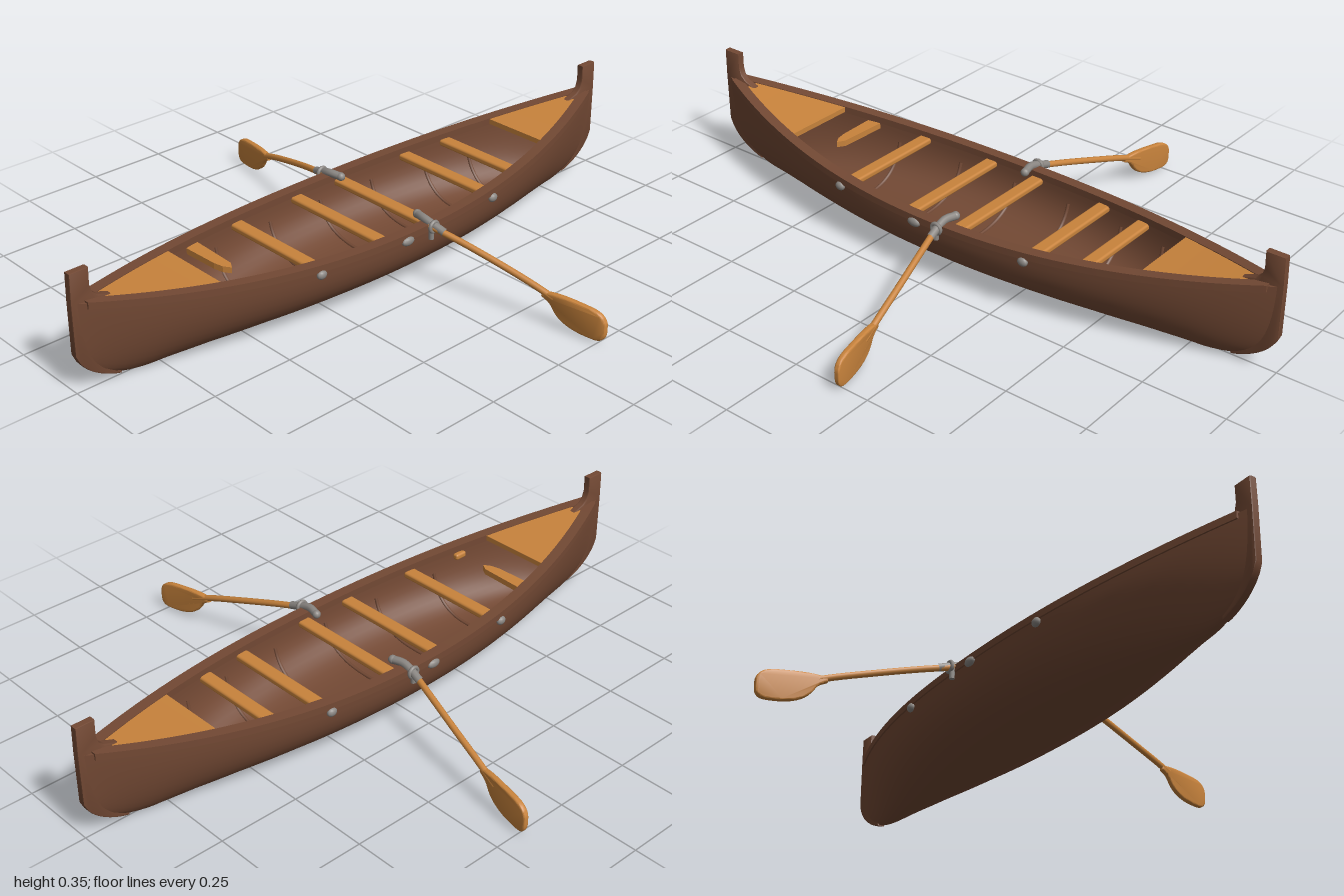
import * as THREE from 'three';
import { toCreasedNormals } from 'three/addons/utils/BufferGeometryUtils.js';
import { RoundedBoxGeometry } from 'three/addons/geometries/RoundedBoxGeometry.js';

const V = (x, y, z) => new THREE.Vector3(x, y, z);

// Hull lines as functions of the station z
const halfBeam = z => 0.216 * (1 - Math.abs(z) ** 2.1) + 0.004;
const sheer = z => 0.193 + 0.075 * z * z;
const keel = z => {
  const a = Math.abs(z), t = Math.min(1, Math.max(0, (a - 0.78) / 0.22));
  return 0.014 - 0.013 * Math.min(1, a / 0.8) ** 2 + 0.14 * (1 - Math.sqrt(1 - t * t));
};
const innerBeam = z => Math.max(halfBeam(z) - 0.026, 0.001);

// U-shaped half-round section from the +x rim to the -x rim
function section(z, w, bottom, top, n = 24) {
  const p = 2.6 - 1.0 * z * z, points = [];
  for (let i = 0; i <= n; i++) {
    const t = (i / n) * Math.PI, c = Math.cos(t), s = Math.sin(t);
    points.push(V(w * Math.sign(c) * Math.abs(c) ** (2 / p), top - (top - bottom) * s ** (2 / p), z));
  }
  return points;
}
function innerSection(z) {
  const fade = Math.min(1, Math.max(0, (0.93 - Math.abs(z)) / 0.05));
  const top = sheer(z), bottom = Math.min(keel(z) + 0.02, top);
  return section(z, innerBeam(z), top - (top - bottom) * fade, top);
}

// Joins closed rings (clockwise seen from +z) placed at rising z
function loft(rings, crease = 0.7) {
  const n = rings[0].length, index = [];
  for (let i = 0; i < rings.length - 1; i++) {
    for (let j = 0; j < n; j++) {
      const a = i * n + j, b = i * n + (j + 1) % n;
      index.push(a, a + n, b, b, a + n, b + n);
    }
  }
  const last = (rings.length - 1) * n;
  for (let j = 1; j < n - 1; j++) index.push(0, j, j + 1, last, last + j + 1, last + j);
  const g = new THREE.BufferGeometry().setFromPoints(rings.flat());
  g.setIndex(index);
  return toCreasedNormals(g, crease);
}
const stations = (from, to, n, f) =>
  Array.from({ length: n + 1 }, (_, i) => f(from + (to - from) * i / n));

export function createModel() {
  const model = new THREE.Group();
  const material = (name, color) => {
    const m = new THREE.MeshStandardMaterial({ color });
    m.name = name;
    return m;
  };
  const brown = material('dark wood', 0x734934);
  const wood = material('light wood', 0xc8833c);
  const metal = material('grey metal', 0x8b8783);
  const add = (name, geometry, mat, parent = model) => {
    const mesh = new THREE.Mesh(geometry, mat);
    mesh.name = name;
    parent.add(mesh);
    return mesh;
  };

  // Hull shell with an outer and an inner skin
  add('hull', loft(stations(-0.99, 0.99, 80, z =>
    [...section(z, halfBeam(z), keel(z), sheer(z)), ...innerSection(z).reverse()])), brown);

  // Gunwale rails
  for (const s of [1, -1]) {
    add(s > 0 ? 'leftGunwale' : 'rightGunwale', loft(stations(-0.96, 0.96, 60, z => {
      const o = halfBeam(z) + 0.005, i = Math.max(o - 0.034, 0.001), y = sheer(z);
      const ring = [V(s * i, y + 0.005, z), V(s * o, y + 0.005, z), V(s * o, y - 0.016, z), V(s * i, y - 0.016, z)];
      return s > 0 ? ring : ring.reverse();
    })), brown);
  }

  // Upright stems at both ends
  for (const s of [1, -1]) {
    const outline = [[0.996, 0.27], [0.994, 0.351], [0.944, 0.351], [0.945, 0.305], [0.938, 0.28], [0.92, 0.264], [0.88, 0.25]];
    for (let i = 0; i <= 12; i++) {
      const z = 0.87 + 0.126 * i / 12;
      outline.push([z, keel(z) + 0.002]);
    }
    const shape = new THREE.Shape(outline.map(([z, y]) => new THREE.Vector2(z, y)));
    const g = new THREE.ExtrudeGeometry(shape, {
      depth: 0.014, bevelThickness: 0.005, bevelSize: 0.004, bevelSegments: 2,
    });
    g.translate(0, 0, -0.007).rotateY(-s * Math.PI / 2);
    add(s > 0 ? 'frontStem' : 'backStem', toCreasedNormals(g, 0.7), brown);
  }

  // Triangular end decks
  const deckRing = z => {
    const w = innerBeam(z) + 0.001, y = sheer(z) + 0.003;
    return [V(w, y, z), V(w, y - 0.016, z), V(-w, y - 0.016, z), V(-w, y, z)];
  };
  add('frontDeck', loft(stations(0.61, 0.9, 14, deckRing)), wood);
  add('backDeck', loft(stations(-0.9, -0.64, 14, deckRing)), wood);

  // Ribs inside the hull
  for (const z of [-0.56, -0.4, -0.2, 0, 0.2, 0.42]) {
    const path = new THREE.CatmullRomCurve3(innerSection(z).slice(2, -2));
    add('rib', new THREE.TubeGeometry(path, 40, 0.006, 6), brown);
  }

  // Thwarts
  for (const z of [-0.48, -0.33, -0.08, 0.09, 0.33]) {
    add('thwart', new RoundedBoxGeometry(2 * innerBeam(z) + 0.004, 0.02, 0.042, 2, 0.007), wood)
      .position.set(0, sheer(z) - 0.022, z);
  }
  // Broken thwart: a pointed piece and a stub
  const broken = new THREE.Shape([[-0.143, -0.022], [-0.143, 0.022], [-0.02, 0.018], [0.01, 0.012], [0.032, -0.002], [0.01, -0.016]]
    .map(([x, y]) => new THREE.Vector2(x, y)));
  add('brokenThwart', new THREE.ExtrudeGeometry(broken, { depth: 0.018, bevelEnabled: false })
    .rotateX(Math.PI / 2), wood).position.set(0, 0.195, 0.512);
  add('thwartStub', new RoundedBoxGeometry(0.02, 0.02, 0.042, 2, 0.007), wood).position.set(0.135, 0.185, 0.512);

  // Oars, oarlocks and side fittings
  const oarZ = x => { const d = Math.abs(x) - 0.24; return -0.05 - 0.27 * d + 0.1 * d * d; };
  for (const s of [1, -1]) {
    const oar = new THREE.Group();
    oar.name = s > 0 ? 'leftOar' : 'rightOar';
    model.add(oar);
    const shaft = new THREE.CatmullRomCurve3([[0.22, 0.193], [0.32, 0.171], [0.46, 0.134], [0.56, 0.105], [0.64, 0.077]]
      .map(([x, y]) => V(s * x, y, oarZ(x))));
    add('shaft', new THREE.TubeGeometry(shaft, 24, 0.0095, 10), wood, oar);

    const blade = new THREE.Shape();
    const p = (...c) => c.map((v, i) => (i % 2 ? v : s * v));
    blade.moveTo(...p(0.58, 0.094));
    blade.bezierCurveTo(...p(0.61, 0.104, 0.66, 0.1, 0.72, 0.094));
    blade.bezierCurveTo(...p(0.755, 0.09, 0.768, 0.075, 0.766, 0.05));
    blade.bezierCurveTo(...p(0.768, 0.016, 0.757, 0.012, 0.73, 0.013));
    blade.bezierCurveTo(...p(0.67, 0.014, 0.632, 0.03, 0.615, 0.06));
    blade.bezierCurveTo(...p(0.605, 0.078, 0.595, 0.082, 0.58, 0.089));
    const g = new THREE.ExtrudeGeometry(blade, {
      depth: 0.008, bevelThickness: 0.005, bevelSize: 0.005, bevelSegments: 3, curveSegments: 10,
    });
    const pos = g.attributes.position;
    for (let i = 0; i < pos.count; i++) pos.setZ(i, pos.getZ(i) - 0.004 + oarZ(pos.getX(i)));
    add('blade', toCreasedNormals(g, 0.7), wood, oar);

    // Metal grip, cradle and pin
    const grip = new THREE.CatmullRomCurve3([V(s * 0.16, 0.203, -0.058), V(s * 0.2, 0.204, -0.05), V(s * 0.27, 0.184, oarZ(0.27))]);
    add('oarGrip', new THREE.TubeGeometry(grip, 12, 0.012, 10), metal, oar);
    add('gripEnd', new THREE.SphereGeometry(0.013, 12, 8), metal, oar).position.set(s * 0.16, 0.203, -0.058);
    const cradle = add('oarlock', new THREE.TorusGeometry(0.015, 0.006, 8, 16), metal, oar);
    cradle.position.set(s * 0.235, 0.193, -0.05);
    cradle.rotation.y = Math.PI / 2;
    add('oarlockPin', new THREE.CylinderGeometry(0.008, 0.008, 0.035, 10), metal, oar).position.set(s * 0.23, 0.172, -0.045);

    for (const [z, y] of [[0.34, 0.177], [0.04, 0.176], [-0.325, 0.177]]) {
      const fitting = add('sideFitting', new THREE.SphereGeometry(0.015, 12, 8), metal);
      fitting.position.set(s * (halfBeam(z) + 0.004), y, z);
      fitting.scale.set(0.7, 0.9, z === 0.04 ? 1.5 : 1.1);
    }
  }
  return model;
}
